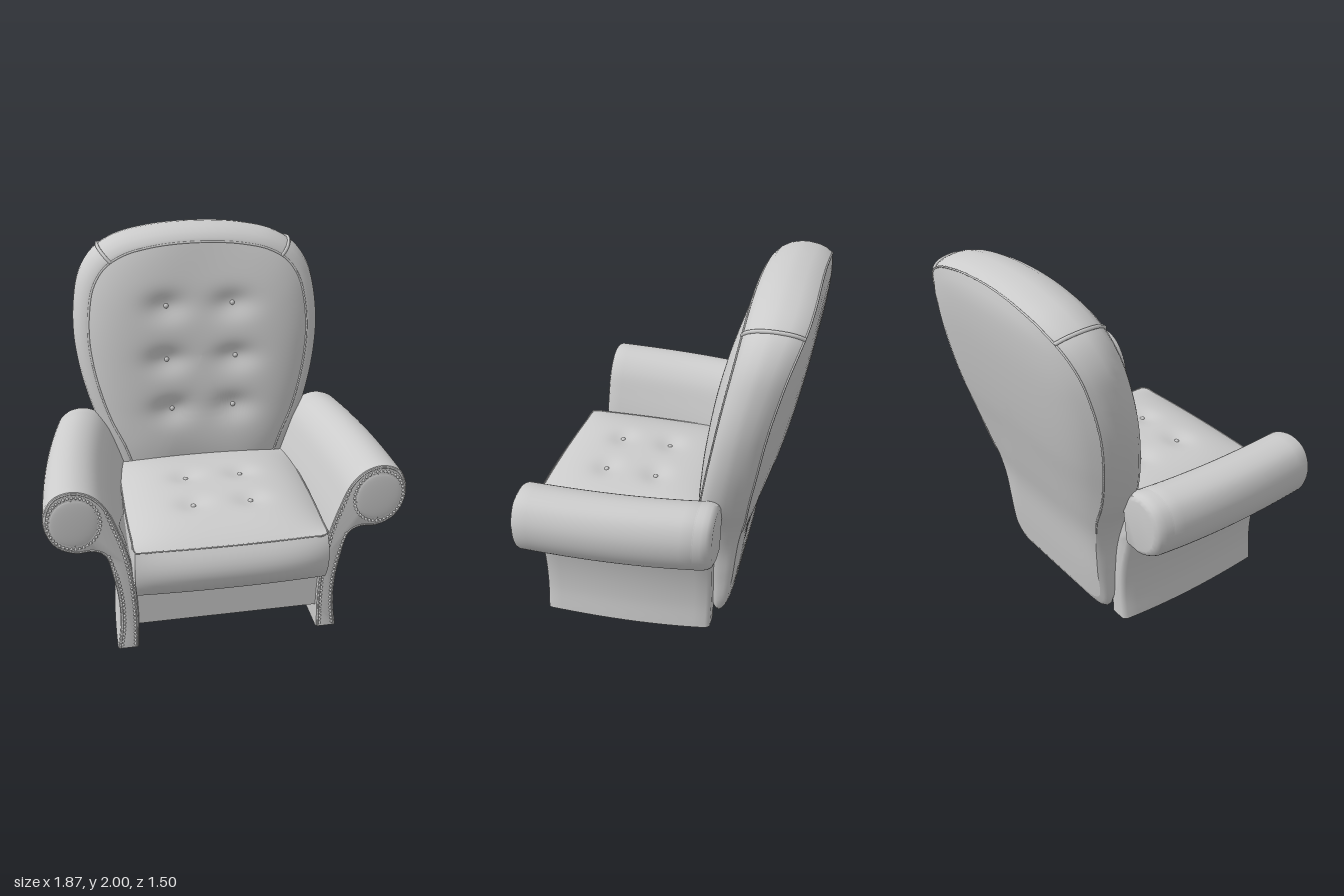
import * as THREE from 'three';
import { mergeGeometries, toCreasedNormals } from 'three/addons/utils/BufferGeometryUtils.js';

const V = (x, y, z = 0) => new THREE.Vector3(x, y, z);
const material = new THREE.MeshStandardMaterial({ color: 0xcccccc, roughness: 0.8 });

function add(parent, name, geometry) {
  const mesh = new THREE.Mesh(geometry, material);
  mesh.name = name;
  parent.add(mesh);
}

// Smooth value through [position, value] pairs
function graph(pairs) {
  const interp = new THREE.CubicInterpolant(pairs.map(p => p[0]), pairs.map(p => p[1]), 1);
  return t => interp.evaluate(t)[0];
}

// Skin over closed rings, each counter-clockwise from the front, running front to back
function loft(rings, capped) {
  const n = rings[0].length, pos = [], index = [];
  rings.forEach(ring => ring.forEach(p => pos.push(p.x, p.y, p.z)));
  for (let r = 0; r < rings.length - 1; r++) {
    for (let i = 0; i < n; i++) {
      const a = r * n + i, b = r * n + (i + 1) % n, c = a + n, d = b + n;
      index.push(a, c, b, b, c, d);
    }
  }
  if (capped) {
    [rings[0], rings[rings.length - 1]].forEach((ring, back) => {
      const start = pos.length / 3;
      ring.forEach(p => pos.push(p.x, p.y, p.z));
      const flat = ring.map(p => new THREE.Vector2(p.x, p.y));
      THREE.ShapeUtils.triangulateShape(flat, []).forEach(([a, b, c]) =>
        index.push(start + a, start + (back ? c : b), start + (back ? b : c)));
    });
  }
  const geo = new THREE.BufferGeometry();
  geo.setAttribute('position', new THREE.Float32BufferAttribute(pos, 3));
  geo.setIndex(index);
  geo.computeVertexNormals();
  return geo;
}

function piping(points, radius, closed) {
  const path = new THREE.CatmullRomCurve3(points, closed);
  return new THREE.TubeGeometry(path, points.length * 2, radius, 6, closed);
}

function beads(points, radius) {
  return mergeGeometries(points.map(p => new THREE.SphereGeometry(radius, 8, 6).translate(p.x, p.y, p.z)));
}

// Soft hollow around each tufting button
const dent = (buttons, u, v, ru, rv) => buttons.reduce((sum, [a, b]) =>
  sum + Math.exp(-(((u - a) / ru) ** 2) - ((v - b) / rv) ** 2), 0);
const mirrored = list => list.flatMap(([a, b]) => [[a, b], [-a, b]]);

function createBackrest() {
  const group = new THREE.Group();
  group.name = 'backrest';
  const buttons = mirrored([[0.19, 1.58], [0.2, 1.28], [0.18, 0.99]]);
  const zFront = graph([[0, -0.28], [0.4, -0.23], [0.75, -0.2], [1, -0.228], [1.2, -0.258],
    [1.5, -0.31], [1.75, -0.365], [1.9, -0.405], [2, -0.44]]);
  const zBack = graph([[0, -0.415], [0.28, -0.45], [0.6, -0.487], [0.8, -0.54], [1, -0.592],
    [1.2, -0.645], [1.5, -0.708], [1.75, -0.748], [1.88, -0.757], [1.95, -0.748], [2, -0.735]]);
  // The panels curve away from the middle towards the sides
  const frontCrown = x => 0.02 + 0.045 * (x / 0.6) ** 2;
  const rearCrown = x => 0.012 + 0.07 * (x / 0.65) ** 4;
  // Outline seen from the front
  const half = [[0.2, 0.02], [0.38, 0.025], [0.435, 0.07], [0.45, 0.3], [0.465, 0.5], [0.52, 0.7],
    [0.6, 0.88], [0.655, 1.05], [0.695, 1.23], [0.714, 1.42], [0.702, 1.6], [0.665, 1.75],
    [0.585, 1.865], [0.46, 1.938], [0.3, 1.978], [0.12, 1.998]];
  const all = [...half, ...half.map(([x, y]) => [-x, y]).reverse()];
  const outline = new THREE.CatmullRomCurve3(all.map(p => V(...p)), true).getSpacedPoints(160).slice(0, -1);
  const centre = 1.3, rimFront = 0.885, rimRear = 0.94;
  const ring = (s, depth) => outline.map(p => {
    const x = p.x * s, y = centre + (p.y - centre) * s;
    return V(x, y, depth(x, y));
  });

  const face = [], band = [], rear = [];
  for (let i = 0; i <= 30; i++) {
    const k = Math.max(i / 30, 0.001);
    face.push(ring(rimFront * k, (x, y) => zFront(y) - frontCrown(x) * k ** 4
      - 0.018 * Math.exp(-((x / 0.25) ** 2)) * (1 - k ** 6)
      - 0.035 * dent(buttons, x, y, 0.12, 0.075) * (1 - k ** 6)));
  }
  for (const [s, f] of [[rimFront, 0], [0.915, 0], [0.955, 0.07], [0.985, 0.2], [1, 0.4], [1, 0.55],
    [0.99, 0.75], [0.97, 0.9], [rimRear, 1]]) {
    band.push(ring(s, (x, y) =>
      THREE.MathUtils.lerp(zFront(y) - frontCrown(x), zBack(y) + rearCrown(x), f)));
  }
  for (let i = 0; i <= 14; i++) {
    const k = Math.max(1 - i / 14, 0.001);
    rear.push(ring(rimRear * k, (x, y) => zBack(y) + rearCrown(x) * k ** 3));
  }
  add(group, 'backFrontPanel', loft(face));
  add(group, 'backSideBand', loft(band));
  add(group, 'backRearPanel', loft(rear));

  // Piping over the top of each panel, ending low on both sides
  const upper = r => r.filter(p => p.y > 0.66);
  add(group, 'backFrontPiping', piping(upper(band[0]), 0.006, false));
  add(group, 'backRearPiping', piping(upper(rear[0]), 0.005, false));

  // Seams across the band at the upper corners
  for (const side of [1, -1]) {
    let best = 0;
    const gap = p => Math.hypot(p.x - side * 0.56, p.y - 1.885);
    outline.forEach((p, i) => { if (gap(p) < gap(outline[best])) best = i; });
    add(group, 'cornerSeam', piping(band.map(r => r[best]), 0.01, false));
  }
  add(group, 'backButtons', beads(buttons.map(([x, y]) => V(x, y, zFront(y) - 0.048)), 0.015));
  return group;
}

function createSeat() {
  const group = new THREE.Group();
  group.name = 'seat';
  const buttons = mirrored([[0.155, 0.08], [0.155, 0.37]]);
  // Cushion surface for u, v, w from -1 to 1
  const place = (u, v, w) => {
    const swell = 1 - v * v;
    const x = u * (0.497 + 0.006 * swell + 0.018 * (1 - Math.max(w, 0) ** 2));
    const z = THREE.MathUtils.lerp(-0.32, 0.68 + 0.015 * (1 - u * u) + 0.06 * swell * (1 - 0.5 * u ** 4), (w + 1) / 2);
    const crown = 0.075 * (1 - u ** 4) * (1 - w ** 4) - 0.022 * dent(buttons, x, z, 0.08, 0.07);
    return V(x, 0.4 + (v + 1) / 2 * (0.26 + crown), z);
  };
  const cushion = new THREE.BoxGeometry(2, 2, 2, 44, 10, 44);
  const pos = cushion.attributes.position;
  for (let i = 0; i < pos.count; i++) {
    const p = place(pos.getX(i), pos.getY(i), pos.getZ(i));
    pos.setXYZ(i, p.x, p.y, p.z);
  }
  cushion.computeVertexNormals();
  add(group, 'seatCushion', cushion);
  const edge = [];
  const corners = [[-1, -1], [1, -1], [1, 1], [-1, 1]];
  corners.forEach(([u, w], i) => {
    const [u2, w2] = corners[(i + 1) % 4];
    for (let k = 0; k < 10; k++) edge.push(place(u + (u2 - u) * k / 10, 1, w + (w2 - w) * k / 10));
  });
  add(group, 'cushionPiping', piping(edge, 0.004, true));
  add(group, 'seatButtons', beads(buttons.map(([x, z]) => V(x, 0.707, z)), 0.016));
  // Frame under the cushion, open below
  add(group, 'frontPanel', new THREE.BoxGeometry(1, 0.26, 0.03).translate(0, 0.27, 0.565));
  add(group, 'seatDeck', new THREE.BoxGeometry(0.94, 0.09, 0.87).translate(0, 0.355, 0.12));
  return group;
}

function createArm(side) {
  const group = new THREE.Group();
  group.name = side > 0 ? 'leftArm' : 'rightArm';
  const inner = [[0.49, 0], [0.485, 0.2], [0.495, 0.4], [0.525, 0.6], [0.575, 0.77]];
  const outer = [[0.645, 0.6], [0.605, 0.45], [0.585, 0.3], [0.585, 0.15], [0.605, 0]];
  const scroll = [[0.63, 0.9], [0.7, 0.97], [0.79, 0.995], [0.88, 0.965], [0.93, 0.88],
    [0.93, 0.77], [0.88, 0.675], [0.79, 0.63], [0.7, 0.63]];
  const section = new THREE.CatmullRomCurve3([...inner, ...scroll, ...outer].map(([x, y]) => V(x * side, y)))
    .getSpacedPoints(110);
  if (side > 0) section.reverse();
  // The arms draw together towards the rear
  const shift = z => -0.09 * side * Math.max(0.6 - z, 0) ** 2.4;
  const ring = (points, inset, z) => points.map((p, i) => {
    const a = points[Math.max(i - 1, 0)], b = points[Math.min(i + 1, points.length - 1)];
    const t = b.clone().sub(a).normalize();
    return V(p.x - t.y * inset + shift(z), p.y < 0.01 ? 0 : p.y + t.x * inset, z);
  });
  const wall = [ring(section, 0.014, 0.6), ring(section, 0.004, 0.596)];
  for (let i = 0; i <= 14; i++) wall.push(ring(section, 0, THREE.MathUtils.lerp(0.585, -0.305, i / 14)));
  wall.push(ring(section, 0.006, -0.322), ring(section, 0.018, -0.33));
  add(group, 'armBody', toCreasedNormals(loft(wall, true), 0.7));

  // Rounded end of the roll, overhanging the wall at the rear
  const roll = section.filter(p => p.y > 0.6 && (Math.abs(p.x) > 0.69 || p.y > 0.9));
  const end = [[0, -0.3], [0, -0.34], [0.005, -0.365], [0.015, -0.382], [0.035, -0.39]];
  add(group, 'armRollEnd', toCreasedNormals(loft(end.map(([inset, z]) => ring(roll, inset, z)), true), 0.7));

  // Front trim: edge piping, scroll pad and rows of studs
  add(group, 'armPiping', piping(ring(section, 0.014, 0.598), 0.005, false));
  const pad = new THREE.SphereGeometry(0.12, 32, 12).scale(1, 1.1, 0.07).translate(0.785 * side, 0.812, 0.599);
  add(group, 'scrollPad', pad);
  const studs = [];
  for (let i = 0; i < 40; i++) {
    const a = i / 40 * Math.PI * 2;
    studs.push(V(side * (0.785 + 0.131 * Math.cos(a)), 0.812 + 0.148 * Math.sin(a), 0.599));
  }
  const rows = [[...inner.map(([x, y]) => [x + 0.022, y]), [0.625, 0.86]], outer.map(([x, y]) => [x - 0.022, y])];
  for (const row of rows) {
    const line = new THREE.CatmullRomCurve3(row.map(([x, y]) => V(x * side, y, 0.599)));
    studs.push(...line.getSpacedPoints(Math.round(line.getLength() / 0.024)).filter(p => p.y > 0.01));
  }
  add(group, 'armStuds', beads(studs, 0.008));
  return group;
}

export function createModel() {
  const chair = new THREE.Group();
  chair.name = 'armchair';
  chair.add(createBackrest(), createSeat(), createArm(1), createArm(-1));
  return chair;
}
